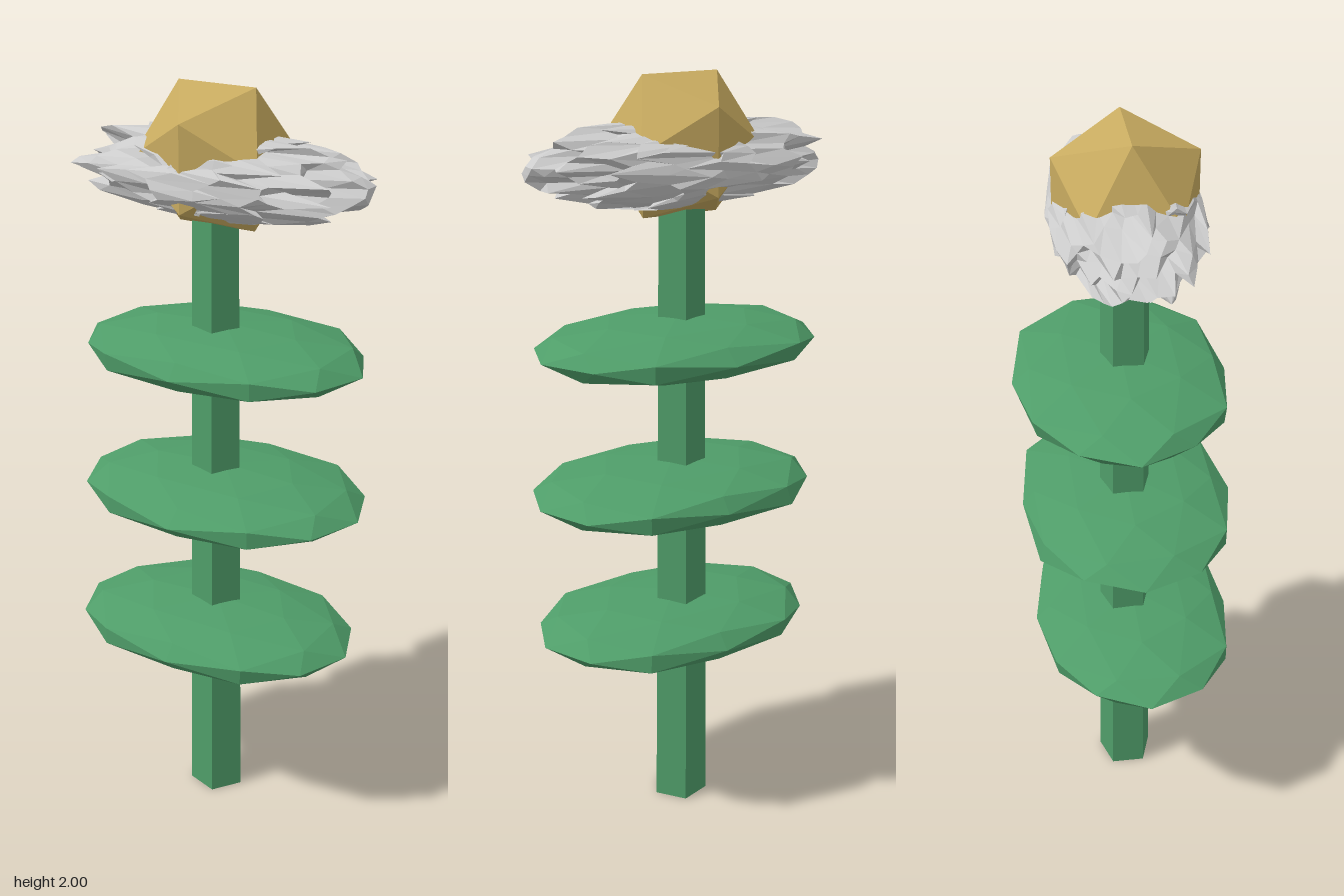
import * as THREE from 'three';

const CX = -0.013; // stem axis
const mat = (color) => new THREE.MeshStandardMaterial({ color, flatShading: true });

// Repeatable value in -1..1 for a point, so shared corners move together
function jitter(v, seed) {
  const r = (n) => Math.round(n * 1000) / 1000 + 0;
  const s = Math.sin(r(v.x) * 127.1 + r(v.y) * 311.7 + r(v.z) * 74.7 + seed * 19.3) * 43758.5453;
  return (s - Math.floor(s)) * 2 - 1;
}

// Unit icosphere whose vertices are moved by a rule
function shapedSphere(detail, rule) {
  const geo = new THREE.IcosahedronGeometry(1, detail);
  const pos = geo.attributes.position;
  const v = new THREE.Vector3();
  for (let i = 0; i < pos.count; i++) {
    v.fromBufferAttribute(pos, i);
    rule(v);
    pos.setXYZ(i, v.x, v.y, v.z);
  }
  geo.computeVertexNormals();
  return geo;
}

export function createModel() {
  const group = new THREE.Group();
  const green = mat(0x4f9d69);
  const add = (name, geo, material, x, y, z) => {
    const mesh = new THREE.Mesh(geo, material);
    mesh.name = name;
    mesh.position.set(x, y, z);
    group.add(mesh);
    return mesh;
  };

  // Five-sided tapering stem, one corner towards +x
  const stem = add('stem', new THREE.CylinderGeometry(0.062, 0.076, 1.8, 5), green, CX, 0.9, 0);
  stem.rotation.y = Math.PI / 2;

  // Three flattened leaf discs: x, y, z centre and half depth
  const leaves = [
    [-0.005, 0.535, 0.018, 0.27],
    [0.008, 0.93, 0, 0.28],
    [0, 1.32, -0.013, 0.272],
  ];
  leaves.forEach(([x, y, z, depth], i) => {
    const geo = shapedSphere(1, (v) => {
      const k = 1 + 0.025 * jitter(v, i + 1);
      // fuller shoulders on the rim
      const rim = Math.abs(v.y) < 0.4 && Math.abs(Math.abs(v.x) - 0.5) < 0.05 ? 1.06 : 1;
      v.set(v.x * k * rim * 0.395, v.y * 0.075, v.z * k * rim * depth);
    });
    add('leaf' + (i + 1), geo, green, x, y, z);
  });

  // Ragged petal ruff, its points drawn out sideways
  const petals = shapedSphere(5, (v) => {
    const shift = 0.085 * jitter(v, 7);
    const k = 1 + 0.05 * jitter(v, 11);
    v.set(
      THREE.MathUtils.clamp(v.x * 0.365 + shift, -0.4, 0.41),
      v.y * 0.108 * k,
      v.z * 0.186 * k
    );
  });
  const ruff = add('petals', petals, mat(0xcccccc), 0, 1.783, 0);
  ruff.material.side = THREE.DoubleSide;

  // Faceted flower centre
  add('flowerCentre', new THREE.IcosahedronGeometry(0.206, 0), mat(0xc8ab60), CX, 1.825, 0);

  return group;
}
